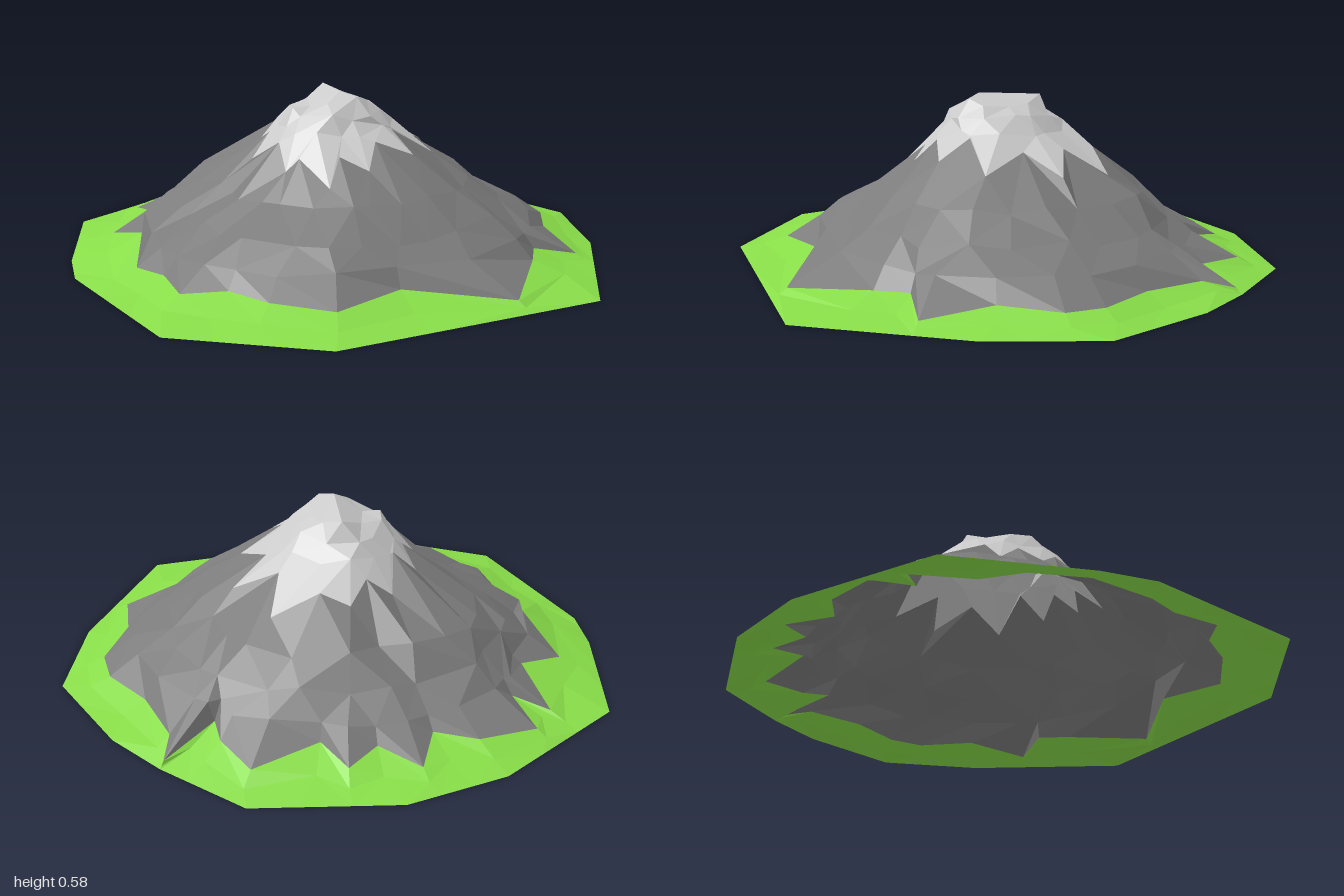
import * as THREE from 'three';

// Seeded random in -1..1
let seed = 11;
const rnd = () => {
  seed = (seed * 16807) % 2147483647;
  return (seed / 2147483647) * 2 - 1;
};

// Outer edge of the grass, [x, z]
const OUTLINE = [[1, 0.2], [0.35, 0.87], [-0.17, 0.96], [-0.68, 0.62], [-0.79, 0.47], [-1, 0.06],
  [-0.84, -0.44], [-0.63, -0.72], [-0.22, -0.97], [0.12, -0.94], [0.35, -0.89], [0.71, -0.72], [0.88, -0.38]];

// Jagged foot of the rock, [x, z, extra height]
const FOOT = [[0.75, 0.05], [0.77, 0.36], [0.42, 0.48], [0.29, 0.7], [0.08, 0.73], [-0.07, 0.7],
  [-0.22, 0.74], [-0.34, 0.62], [-0.47, 0.57], [-0.55, 0.39, 0.045], [-0.75, 0.25], [-0.67, 0.08],
  [-0.84, -0.08], [-0.71, -0.1], [-0.84, -0.2], [-0.71, -0.37], [-0.57, -0.42], [-0.61, -0.57], [-0.45, -0.57],
  [-0.42, -0.7], [-0.29, -0.65], [-0.16, -0.85], [0, -0.78], [0.07, -0.71], [0.12, -0.92], [0.17, -0.82],
  [0.36, -0.7], [0.56, -0.64], [0.66, -0.55], [0.71, -0.35], [0.86, -0.17], [0.73, -0.07]];

// Contour radii in eight directions (+x, then turning towards +z) at each height
const LEVELS = [0.11, 0.18, 0.27, 0.36, 0.44, 0.52];
const RADII = [
  [0.7, 0.61, 0.66, 0.65, 0.69, 0.69, 0.71, 0.75],
  [0.61, 0.53, 0.57, 0.51, 0.61, 0.59, 0.64, 0.63],
  [0.48, 0.41, 0.39, 0.38, 0.54, 0.46, 0.54, 0.5],
  [0.37, 0.29, 0.27, 0.27, 0.29, 0.34, 0.41, 0.39],
  [0.23, 0.22, 0.21, 0.21, 0.22, 0.28, 0.25, 0.25],
  [0.18, 0.16, 0.15, 0.14, 0.14, 0.2, 0.19, 0.16],
];

// Ridge of the summit, [x, y, z]
const CROWN = [[0.115, 0.57, 0.04], [0.03, 0.55, 0.1], [-0.05, 0.53, 0.06], [-0.1, 0.535, -0.04],
  [-0.08, 0.575, -0.14], [0, 0.55, -0.13], [0.07, 0.545, -0.09], [0.13, 0.55, -0.02]];

const { lerp, clamp } = THREE.MathUtils;

function slopeRadius(angle, y) {
  const d = (angle / (Math.PI / 4)) % 8;
  const d0 = Math.floor(d);
  const at = (row) => lerp(row[d0], row[(d0 + 1) % 8], d - d0);
  const h = clamp(y, LEVELS[0], 0.52);
  let k = 0;
  while (k < LEVELS.length - 2 && h > LEVELS[k + 1]) k++;
  return lerp(at(RADII[k]), at(RADII[k + 1]), (h - LEVELS[k]) / (LEVELS[k + 1] - LEVELS[k]));
}

// Distance from the centre to the outline in the direction of (x, z)
function outlineRadius(x, z) {
  const len = Math.hypot(x, z);
  let best = Infinity;
  OUTLINE.forEach(([ax, az], i) => {
    const [bx, bz] = OUTLINE[(i + 1) % OUTLINE.length];
    const nx = bz - az, nz = ax - bx;
    const toward = (nx * x + nz * z) / len;
    if (toward > 0) best = Math.min(best, (nx * ax + nz * az) / toward);
  });
  return best;
}

const angleOf = (p) => (Math.atan2(p.z, p.x) + Math.PI * 2) % (Math.PI * 2);
const sorted = (ring) => ring.sort((a, b) => angleOf(a) - angleOf(b));

// Ring of points on the slope near height y; zigzag runs it up and down the slope,
// sway lifts it at the sides and lowers it at front and back
function slopeRing(count, y, rough, zigzag = 0, sway = 0) {
  const ring = [];
  for (let i = 0; i < count; i++) {
    const a = ((i + 0.5 + rnd() * 0.35) / count) * Math.PI * 2;
    const h = y + (i % 2 ? zigzag : -zigzag) * (1 + rnd() * 0.5) + sway * Math.cos(2 * a);
    const r = slopeRadius(a, h) * (1 + rnd() * rough);
    ring.push(new THREE.Vector3(r * Math.cos(a), h + rnd() * 0.016, r * Math.sin(a)));
  }
  return sorted(ring);
}

// Area of a triangle seen from above, positive when it faces up
const areaUp = (a, b, c) => (b.z - a.z) * (c.x - a.x) - (b.x - a.x) * (c.z - a.z);

// Zips neighbouring rings (outer to inner) by angle, avoiding folded faces
function skin(name, rings, color, top) {
  const pos = [];
  const tri = (...pts) => pts.forEach((p) => pos.push(p.x, p.y, p.z));
  const turn = (R, i) => angleOf(R[i % R.length]) + (i >= R.length ? Math.PI * 2 : 0);
  for (let k = 0; k < rings.length - 1; k++) {
    const A = rings[k], B = rings[k + 1];
    let i = 0, j = 0;
    while (i < A.length || j < B.length) {
      const a = A[i % A.length], b = B[j % B.length];
      const a2 = A[(i + 1) % A.length], b2 = B[(j + 1) % B.length];
      const okA = areaUp(a, b, a2) > 0, okB = areaUp(a, b, b2) > 0;
      const nearer = turn(A, i + 1) < turn(B, j + 1);
      const outer = j >= B.length || (i < A.length && (okA === okB ? nearer : okA));
      tri(a, b, outer ? a2 : b2);
      if (outer) i++;
      else j++;
    }
  }
  if (top) {
    const R = rings[rings.length - 1];
    R.forEach((p, i) => tri(p, top, R[(i + 1) % R.length]));
  }
  const geo = new THREE.BufferGeometry();
  geo.setAttribute('position', new THREE.Float32BufferAttribute(pos, 3));
  geo.computeVertexNormals();
  const mesh = new THREE.Mesh(geo, new THREE.MeshStandardMaterial({
    color, flatShading: true, side: THREE.DoubleSide,
  }));
  mesh.name = name;
  return mesh;
}

export function createModel() {
  seed = 11;
  const group = new THREE.Group();
  group.name = 'mountain';

  // Ground edge, each side split in three
  const edge = [];
  OUTLINE.forEach(([x, z], i) => {
    const [x2, z2] = OUTLINE[(i + 1) % OUTLINE.length];
    for (let s = 0; s < 3; s++) edge.push(new THREE.Vector3(lerp(x, x2, s / 3), 0, lerp(z, z2, s / 3)));
  });

  // Grass flattens out between the rock foot and the edge
  const foot = sorted(FOOT.map(([x, z, extra = 0]) => {
    const gap = outlineRadius(x, z) - Math.hypot(x, z);
    return new THREE.Vector3(x, 0.018 + gap * 0.2 + extra + rnd() * 0.006, z);
  }));
  const meadow = foot.map((p) => {
    const s = lerp(1, outlineRadius(p.x, p.z) / Math.hypot(p.x, p.z), 0.5);
    return new THREE.Vector3(p.x * s, p.y * 0.38 + rnd() * 0.004, p.z * s);
  });
  group.add(skin('grass', [sorted(edge), meadow, foot], 0x88dd48));

  // Lowest rock ring sits straight uphill of the foot points
  const skirt = foot.map((p) => {
    const len = Math.hypot(p.x, p.z);
    const s = Math.min(slopeRadius(angleOf(p), 0.11) / len, 0.95);
    return new THREE.Vector3(p.x * s, 0.115 + rnd() * 0.012, p.z * s);
  });

  // Rock slopes up to the jagged snow line
  const snowLine = slopeRing(22, 0.385, 0.03, 0.035, 0.025);
  group.add(skin('rock', [
    foot,
    skirt,
    slopeRing(28, 0.18, 0.03),
    slopeRing(26, 0.265, 0.04),
    snowLine,
  ], 0x7c7c7c));

  // Snow cap with a twin summit
  group.add(skin('snowCap', [
    snowLine,
    slopeRing(16, 0.465, 0.05),
    slopeRing(12, 0.515, 0.03),
    sorted(CROWN.map((p) => new THREE.Vector3(...p))),
  ], 0xcccccc, new THREE.Vector3(0.05, 0.585, 0.035)));

  return group;
}
